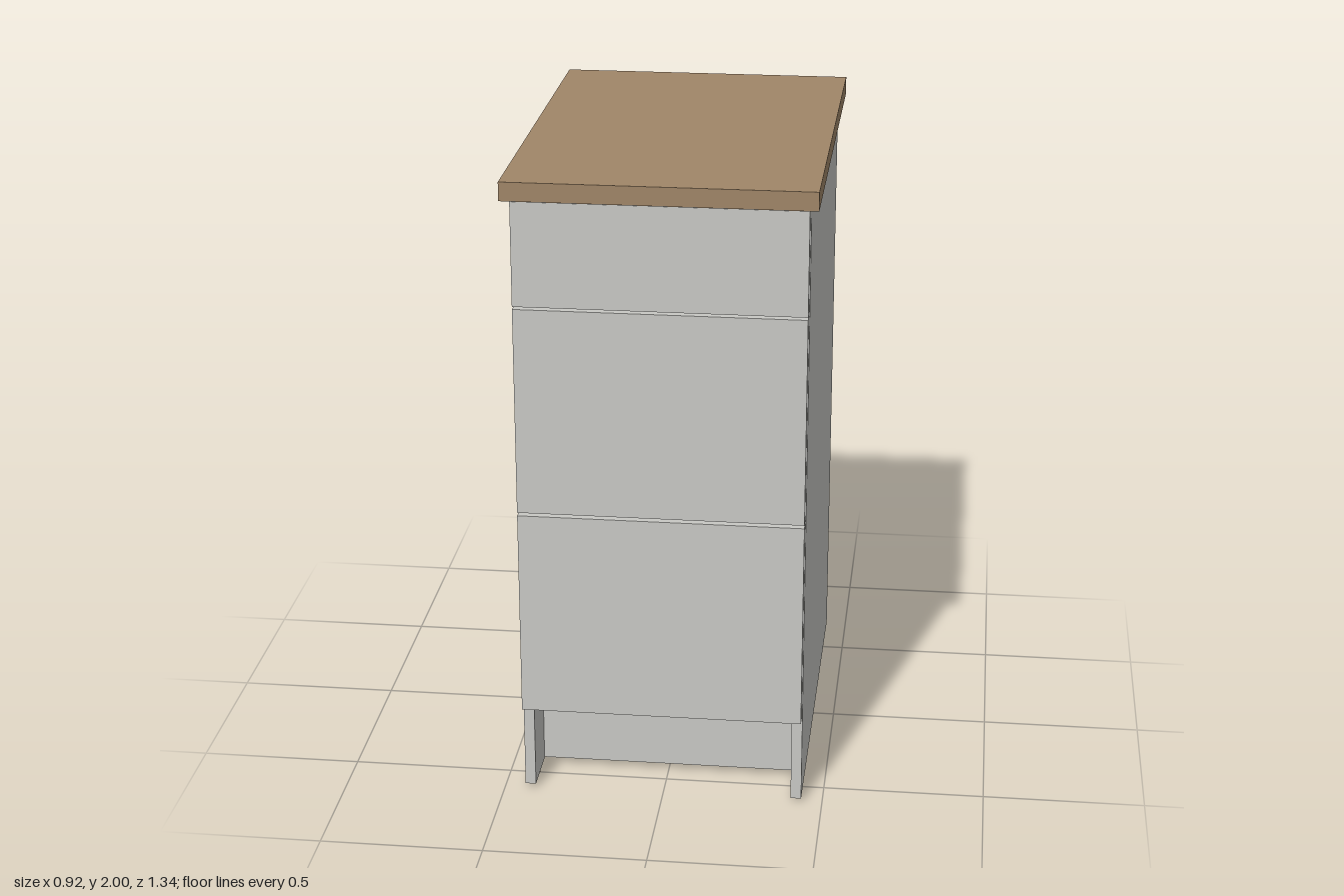
import * as THREE from 'three';

export function createModel() {
  const model = new THREE.Group();
  model.name = 'drawerCabinet';

  const mat = (name, color) => {
    const m = new THREE.MeshStandardMaterial({ color });
    m.name = name;
    return m;
  };
  const grey = mat('greyPanel', 0xc8c8c4);
  const wood = mat('brownWood', 0xa08668);

  // box given by its min and max on each axis
  const box = (name, [x0, x1], [y0, y1], [z0, z1], material = grey, parent = model) => {
    const mesh = new THREE.Mesh(new THREE.BoxGeometry(x1 - x0, y1 - y0, z1 - z0), material);
    mesh.position.set((x0 + x1) / 2, (y0 + y1) / 2, (z0 + z1) / 2);
    mesh.name = name;
    parent.add(mesh);
    return mesh;
  };
  const span = (side, a, b) => (side > 0 ? [a, b] : [-b, -a]);

  // worktop: wood faced, with plain underside and back edge
  box('worktop', [-0.46, 0.46], [1.943, 2], [-0.67, 0.67], [wood, wood, wood, grey, wood, grey]);

  // carcass
  box('bottomPanel', [-0.4, 0.4], [0.285, 0.32], [-0.635, 0.6]);
  box('backPanel', [-0.405, 0.405], [0.285, 1.39], [-0.65, -0.638]);
  box('kickBoard', [-0.405, 0.405], [0.02, 0.285], [0.4, 0.435]);
  box('rearRail', [-0.4, 0.4], [1.895, 1.943], [-0.635, -0.615]);
  box('frontRail', [-0.4, 0.4], [1.925, 1.943], [0.46, 0.6]);

  for (const s of [1, -1]) {
    const label = s > 0 ? 'left' : 'right';
    box(label + 'SidePanel', span(s, 0.402, 0.435), [0.015, 1.943], [-0.67, 0.603]);

    // small feet
    for (const z of [0.5, -0.56]) {
      const foot = new THREE.Mesh(new THREE.CylinderGeometry(0.014, 0.014, 0.015, 12), wood);
      foot.position.set(s * 0.419, 0.0075, z);
      foot.name = label + 'Foot';
      model.add(foot);
    }

    // wall bracket with a round hole, plus its side flange
    const plate = new THREE.Shape();
    plate.moveTo(-0.045, -0.05);
    plate.lineTo(0.045, -0.05);
    plate.lineTo(0.045, 0.05);
    plate.lineTo(-0.045, 0.05);
    plate.closePath();
    const hole = new THREE.Path();
    hole.absarc(0, 0, 0.016, 0, Math.PI * 2, true);
    plate.holes.push(hole);
    const bracket = new THREE.Mesh(
      new THREE.ExtrudeGeometry(plate, { depth: 0.008, bevelEnabled: false, curveSegments: 10 }), grey);
    bracket.position.set(s * 0.357, 1.83, -0.65);
    bracket.name = label + 'WallBracket';
    model.add(bracket);
    box(label + 'BracketFlange', span(s, 0.394, 0.402), [1.78, 1.88], [-0.65, -0.56]);
  }

  // drawers: front bottom and top, floor, then top of the sides and back
  const drawers = [
    ['top', 1.616, 1.935, 1.66, 1.83],
    ['middle', 0.962, 1.608, 1.02, 1.36],
    ['lower', 0.298, 0.952, 0.36, 0.7],
  ];
  for (const [label, y0, y1, floor, top] of drawers) {
    const drawer = new THREE.Group();
    drawer.name = label + 'Drawer';
    model.add(drawer);
    box('drawerFront', [-0.433, 0.433], [y0, y1], [0.607, 0.645], grey, drawer);
    box('drawerFloor', [-0.36, 0.36], [floor, floor + 0.02], [-0.53, 0.607], grey, drawer);
    box('drawerBack', [-0.36, 0.36], [floor, top], [-0.55, -0.53], grey, drawer);
    for (const s of [1, -1]) {
      box('drawerSide', span(s, 0.35, 0.375), [floor, top], [-0.53, 0.607], grey, drawer);
      box('drawerRunner', span(s, 0.378, 0.402), [floor - 0.01, floor + 0.05], [-0.5, 0.59], grey, drawer);
      box('runnerClip', span(s, 0.362, 0.382), [floor, floor + 0.08], [-0.575, -0.55], wood, drawer);
    }
  }

  return model;
}
